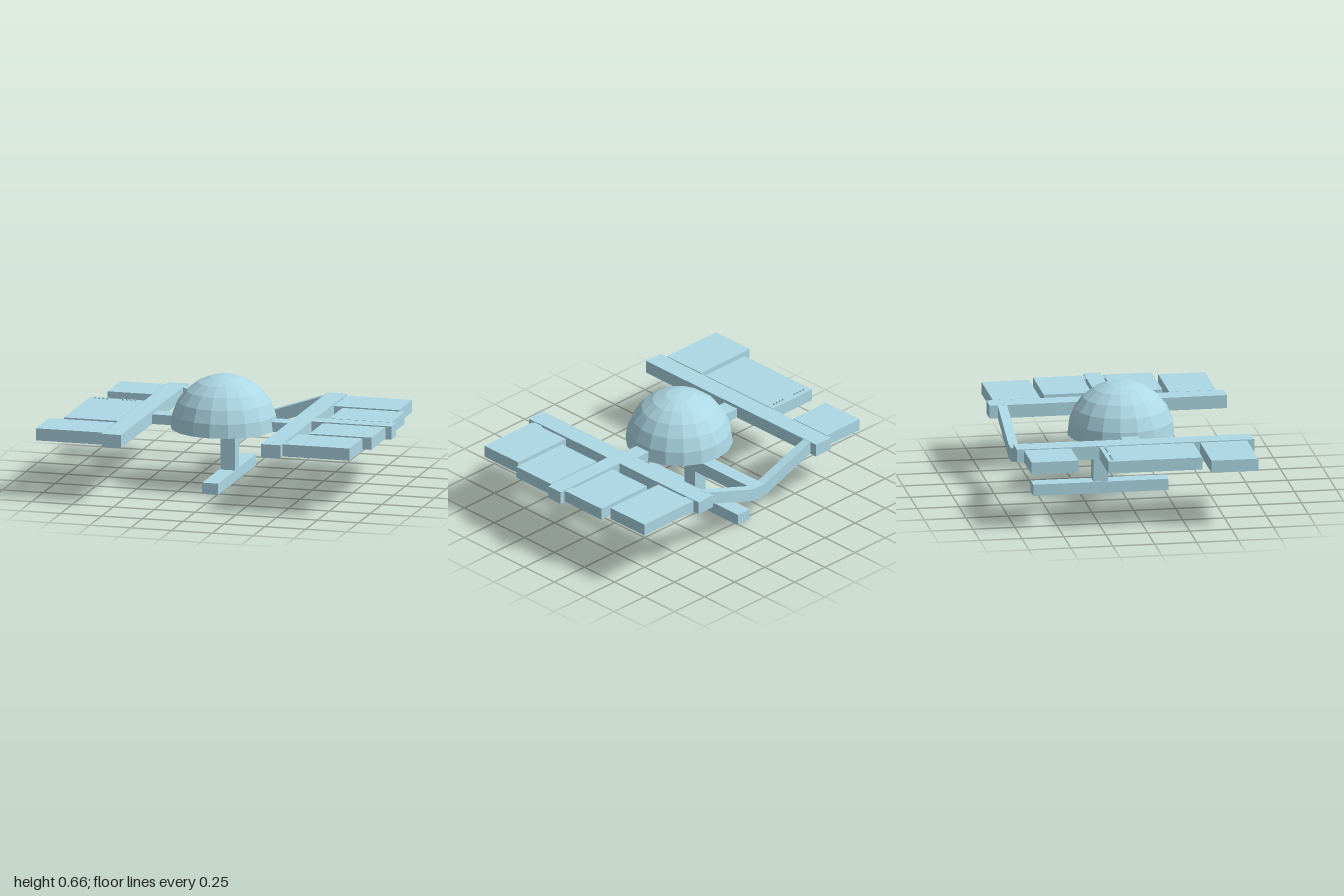
import * as THREE from 'three';

export function createModel() {
  const model = new THREE.Group();
  model.name = 'station';
  const blue = new THREE.MeshStandardMaterial({ color: 0xadd8e6, flatShading: true });

  const add = (name, geometry, parent = model) => {
    const mesh = new THREE.Mesh(geometry, blue);
    mesh.name = name;
    parent.add(mesh);
    return mesh;
  };
  // Box given by its minimum and maximum on each axis
  const block = (name, [x0, x1], [y0, y1], [z0, z1], parent) => {
    const mesh = add(name, new THREE.BoxGeometry(x1 - x0, y1 - y0, z1 - z0), parent);
    mesh.position.set((x0 + x1) / 2, (y0 + y1) / 2, (z0 + z1) / 2);
    return mesh;
  };

  // Faceted central dome with a flat floor
  const cx = -0.037, R = 0.317, floor = 0.347;
  const profile = [new THREE.Vector2(0, 0)];
  for (let i = 0; i <= 6; i++) {
    const a = (i / 6) * Math.PI / 2;
    profile.push(new THREE.Vector2(i === 6 ? 0 : R * Math.cos(a), R * Math.sin(a)));
  }
  add('dome', new THREE.LatheGeometry(profile, 18)).position.set(cx, floor, 0);

  // Two long corridors and the cross corridors that reach the dome
  const deck = [0.347, 0.426], low = [0.349, 0.407];
  block('rightLongCorridor', [-0.585, -0.465], deck, [-0.71, 0.705]);
  block('leftLongCorridor', [0.39, 0.51], deck, [-0.71, 0.705]);
  block('rightCrossCorridor', [-0.465, -0.3], low, [-0.052, 0.052]);
  block('leftCrossCorridor', [0.23, 0.39], low, [-0.052, 0.052]);
  block('leftOuterCorridor', [0.51, 1.0], deck, [-0.05, 0.05]);

  // Flat room modules: x range, z range
  const modules = new THREE.Group();
  modules.name = 'modules';
  model.add(modules);
  const rooms = [
    [[-0.865, -0.593], [-0.67, -0.39]],
    [[-0.92, -0.593], [-0.22, 0.34]],
    [[-1.0, -0.595], [0.38, 0.66]],
    [[0.522, 0.92], [-0.67, -0.387]],
    [[0.585, 0.965], [-0.355, -0.068]],
    [[0.585, 0.965], [0.065, 0.352]],
    [[0.524, 0.92], [0.383, 0.662]],
  ];
  rooms.forEach(([x, z]) => block('module', x, [0.35, 0.423], z, modules));

  // Short joints between the modules and the corridors
  const joints = [
    [[-0.6, -0.58], [-0.66, -0.6]],
    [[-0.6, -0.58], [0.27, 0.335]],
    [[-0.6, -0.58], [0.59, 0.655]],
    [[0.505, 0.53], [-0.665, -0.6]],
    [[0.505, 0.53], [0.595, 0.657]],
    [[0.9, 0.965], [-0.072, -0.045]],
    [[0.9, 0.965], [0.045, 0.07]],
  ];
  joints.forEach(([x, z]) => block('joint', x, [0.351, 0.42], z, modules));

  // Two rows of small studs on the long module
  for (const start of [-0.88, -0.71]) {
    for (let i = 0; i < 4; i++) {
      const stud = add('stud', new THREE.CylinderGeometry(0.007, 0.007, 0.014, 8), modules);
      stud.position.set(start + i * 0.025, 0.425, -0.19);
    }
  }

  // V-shaped rear beam hung between the long corridors
  const v = new THREE.Shape();
  [[-0.47, 0.427], [-0.09, 0.295], [0.01, 0.295], [0.395, 0.427],
    [0.395, 0.351], [0.01, 0.216], [-0.09, 0.216], [-0.47, 0.351]]
    .reverse()
    .forEach(([x, y], i) => (i ? v.lineTo(x, y) : v.moveTo(x, y)));
  const beam = add('rearBeam', new THREE.ExtrudeGeometry(v, { depth: 0.056, bevelEnabled: false }));
  beam.position.z = -0.662;

  // Lower passage: forward strut, shaft and bottom tunnel
  block('strut', [-0.085, 0.003], [0.217, 0.295], [-0.61, -0.085]);
  block('shaft', [-0.085, 0.003], [0.05, 0.217], [-0.17, -0.085]);
  block('bottomTunnel', [-0.092, 0.005], [0, 0.068], [-0.53, 0.277]);

  return model;
}
